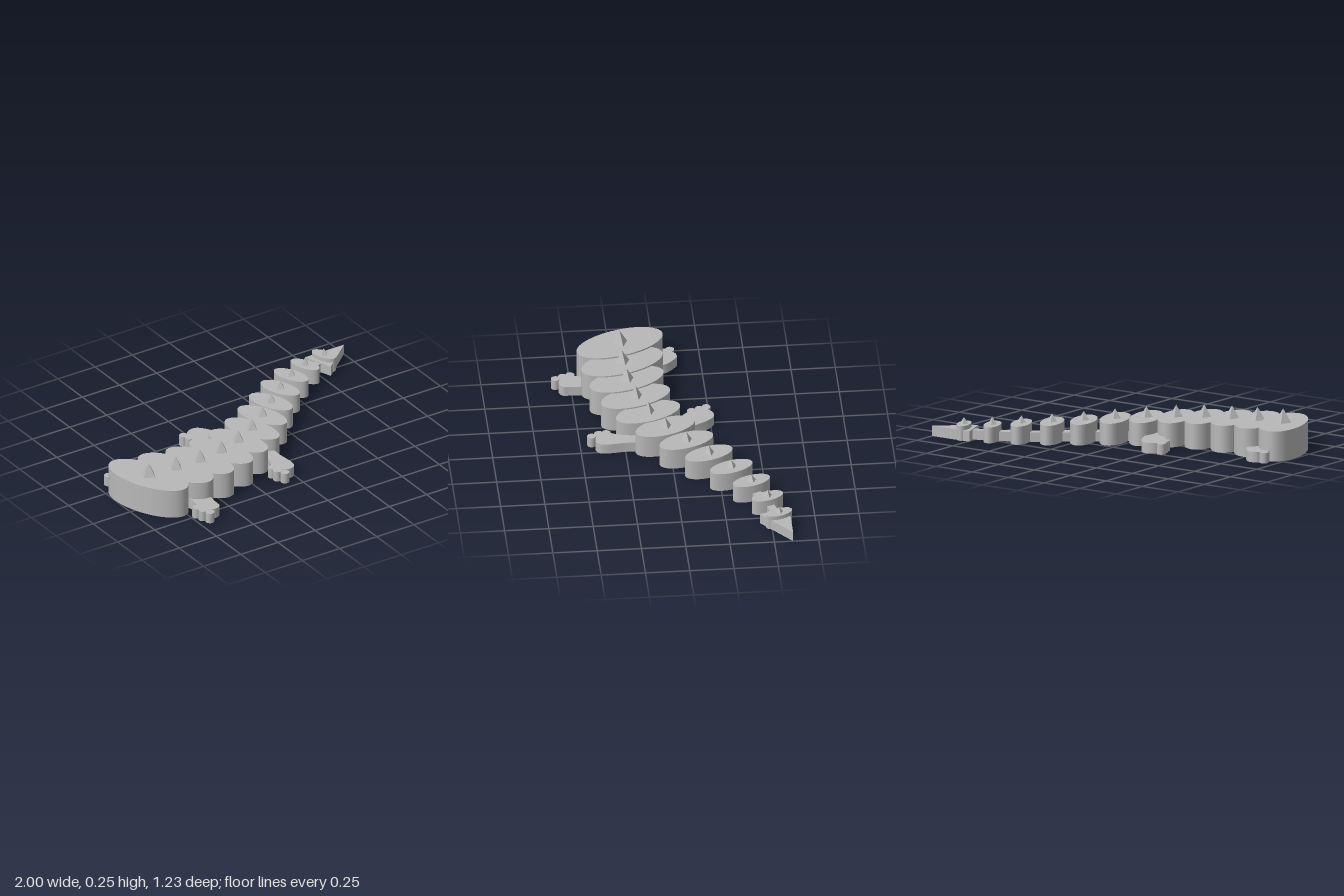
import * as THREE from 'three';
import { toCreasedNormals } from 'three/addons/utils/BufferGeometryUtils.js';

const TILT = 0.36; // shared yaw of the body discs and spikes
const LIMB_HEIGHT = 0.06;

// x, z, long radius, disc height, spike tip height
const SEGMENTS = [
  [-0.85, 0.208, 0.262, 0.172, 0.252],
  [-0.67, 0.211, 0.248, 0.163, 0.237],
  [-0.50, 0.2, 0.225, 0.155, 0.226],
  [-0.333, 0.165, 0.21, 0.147, 0.216],
  [-0.18, 0.107, 0.195, 0.139, 0.206],
  [-0.033, 0.024, 0.18, 0.133, 0.194],
  [0.107, -0.083, 0.163, 0.126, 0.181],
  [0.24, -0.198, 0.144, 0.119, 0.169],
  [0.378, -0.312, 0.129, 0.112, 0.157],
  [0.518, -0.413, 0.113, 0.104, 0.146],
  [0.663, -0.491, 0.095, 0.091, 0.133],
  [0.823, -0.542, 0.079, 0.084, 0.121],
];

// Leg outlines and toe centres on the ground plane (x, z)
const LEGS = [
  {
    name: 'frontRightLeg',
    outline: [[-0.7, 0.36], [-0.6, 0.38], [-0.595, 0.52], [-0.597, 0.55], [-0.63, 0.572], [-0.675, 0.56], [-0.7, 0.5], [-0.695, 0.43]],
    toes: [[-0.718, 0.5], [-0.705, 0.543], [-0.685, 0.586]],
  },
  {
    name: 'rearRightLeg',
    outline: [[-0.06, 0.16], [0, 0.13], [0.005, 0.25], [0.014, 0.365], [0.004, 0.4], [-0.03, 0.418], [-0.08, 0.402], [-0.107, 0.35], [-0.08, 0.27]],
    toes: [[-0.11, 0.35], [-0.105, 0.393], [-0.081, 0.435]],
  },
  {
    name: 'frontLeftLeg',
    outline: [[-0.9, 0.04], [-0.91, -0.06], [-0.89, -0.105], [-0.85, -0.115], [-0.818, -0.094], [-0.77, -0.03], [-0.78, 0.08]],
    toes: [[-0.928, -0.082], [-0.912, -0.05], [-0.9, -0.01]],
  },
  {
    name: 'rearLeftLeg',
    outline: [[-0.2, 0.02], [-0.23, -0.07], [-0.29, -0.14], [-0.31, -0.21], [-0.28, -0.257], [-0.235, -0.27], [-0.197, -0.248], [-0.13, -0.13], [-0.1, -0.02]],
    toes: [[-0.324, -0.233], [-0.31, -0.193], [-0.293, -0.148]],
  },
];

export function createModel() {
  const group = new THREE.Group();
  const grey = new THREE.MeshStandardMaterial({ color: 0xb8b8b8 });
  grey.name = 'stone grey';

  const add = (name, geometry, parent = group) => {
    const mesh = new THREE.Mesh(geometry, grey);
    mesh.name = name;
    parent.add(mesh);
    return mesh;
  };

  // Upright slab from a ground-plane outline
  const slab = (points, height, rounded) => {
    let pts = points.map(([x, z]) => new THREE.Vector2(x, -z));
    if (rounded) {
      const curve = new THREE.CatmullRomCurve3(pts.map((p) => new THREE.Vector3(p.x, p.y, 0)), true);
      pts = curve.getPoints(48).slice(0, -1).map((p) => new THREE.Vector2(p.x, p.y));
    }
    const geometry = new THREE.ExtrudeGeometry(new THREE.Shape(pts), { depth: height, bevelEnabled: false });
    geometry.rotateX(-Math.PI / 2);
    return toCreasedNormals(geometry, 0.7);
  };

  // Oval body discs, each topped by a four-sided spike
  SEGMENTS.forEach(([x, z, r, h, tip], i) => {
    const disc = new THREE.CylinderGeometry(1, 1, h, 56);
    disc.scale(r * 0.483, 1, r);
    disc.rotateY(TILT);
    disc.translate(x, h / 2, z);
    add(i === 0 ? 'head' : `bodySegment${i}`, disc);

    const spikeRadius = 0.047 - 0.0021 * i;
    const spike = new THREE.ConeGeometry(spikeRadius, tip - h, 4).toNonIndexed();
    spike.computeVertexNormals();
    spike.rotateY(TILT);
    spike.translate(x, (h + tip) / 2, z);
    add(`spike${i + 1}`, spike);
  });

  // Low bars linking the tail discs
  for (let i = 5; i < SEGMENTS.length - 1; i++) {
    const [x0, z0] = SEGMENTS[i];
    const [x1, z1] = SEGMENTS[i + 1];
    const bar = new THREE.BoxGeometry(Math.hypot(x1 - x0, z1 - z0), 0.054, 0.085 - 0.004 * i);
    bar.rotateY(Math.atan2(z0 - z1, x1 - x0));
    bar.translate((x0 + x1) / 2, 0.027, (z0 + z1) / 2);
    add(`tailLink${i - 4}`, bar);
  }

  // Triangular tail tip
  add('tailTip', slab([[0.738, -0.606], [0.8, -0.436], [1, -0.606]], LIMB_HEIGHT, false));

  // Flat legs with round toes
  for (const { name, outline, toes } of LEGS) {
    const leg = new THREE.Group();
    leg.name = name;
    group.add(leg);
    add('foot', slab(outline, LIMB_HEIGHT, true), leg);
    toes.forEach(([x, z], i) => {
      const toe = new THREE.CylinderGeometry(0.025, 0.025, LIMB_HEIGHT, 20);
      toe.translate(x, LIMB_HEIGHT / 2, z);
      add(`toe${i + 1}`, toe, leg);
    });
  }
  return group;
}
